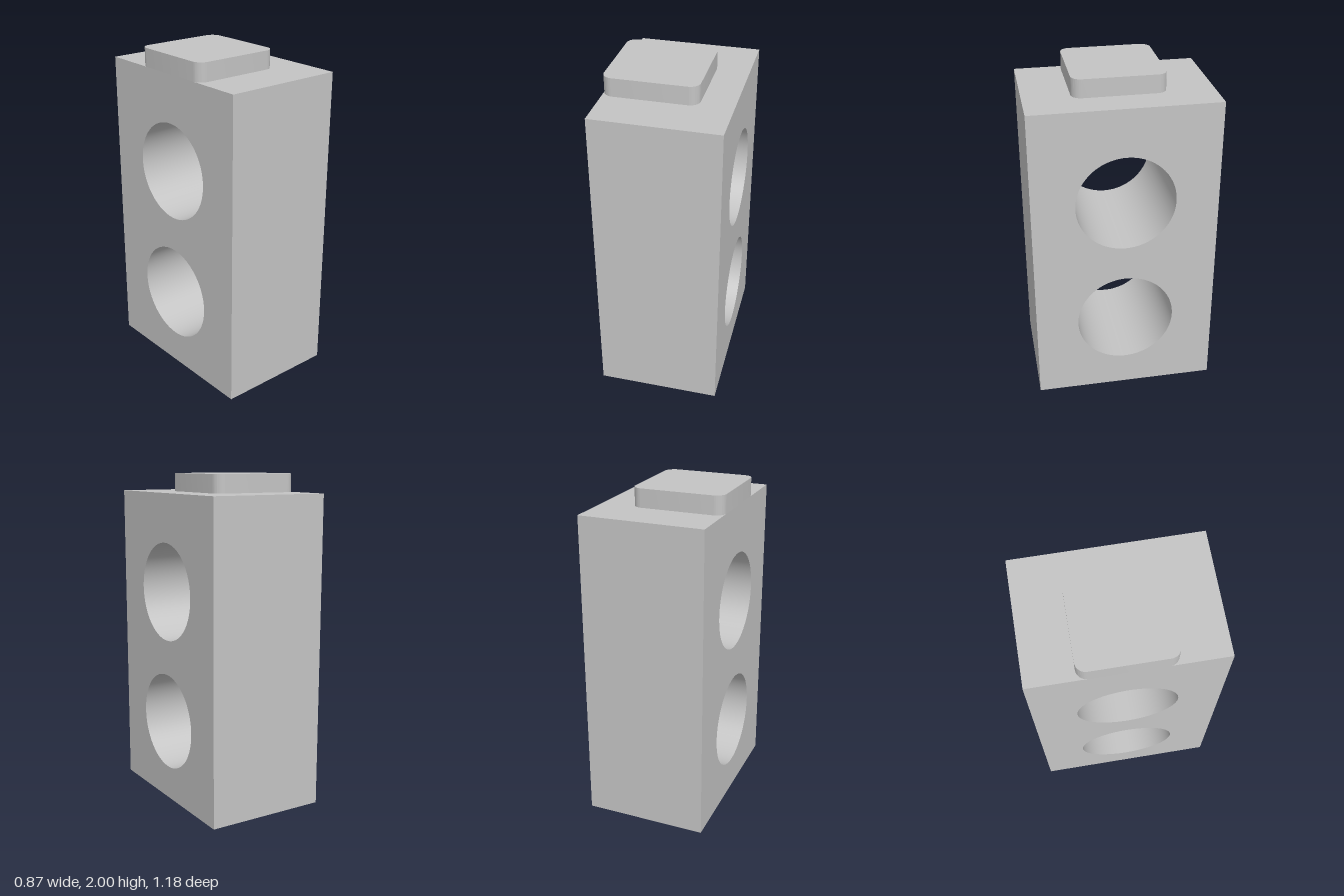
import * as THREE from 'three';
import { toCreasedNormals } from 'three/addons/utils/BufferGeometryUtils.js';

const WIDTH = 0.74, LENGTH = 1.1, HEIGHT = 1.89, TOTAL = 2;

function extrude(shape, depth) {
  const geometry = new THREE.ExtrudeGeometry(shape, { depth, bevelEnabled: false, curveSegments: 48 });
  return toCreasedNormals(geometry, 0.6);
}

function roundedSquare(half, r) {
  const k = half - r;
  const shape = new THREE.Shape();
  shape.absarc(k, k, r, 0, Math.PI / 2);
  shape.absarc(-k, k, r, Math.PI / 2, Math.PI);
  shape.absarc(-k, -k, r, Math.PI, Math.PI * 1.5);
  shape.absarc(k, -k, r, Math.PI * 1.5, Math.PI * 2);
  shape.closePath();
  return shape;
}

export function createModel() {
  const model = new THREE.Group();
  model.name = 'piercedBlock';
  const grey = new THREE.MeshStandardMaterial({ color: 0xc4c4c4 });
  grey.name = 'grey';

  // Block: side profile with two round through-holes, extruded across the width
  const side = new THREE.Shape([
    new THREE.Vector2(-LENGTH / 2, 0),
    new THREE.Vector2(LENGTH / 2, 0),
    new THREE.Vector2(LENGTH / 2, HEIGHT),
    new THREE.Vector2(-LENGTH / 2, HEIGHT),
  ]);
  for (const y of [0.5, 1.305]) {
    side.holes.push(new THREE.Path().absarc(0, y, 0.295, 0, Math.PI * 2, true));
  }
  const block = new THREE.Mesh(
    extrude(side, WIDTH).translate(0, 0, -WIDTH / 2).rotateY(Math.PI / 2), grey);
  block.name = 'block';

  // Raised pad: rounded square, flush with the right face
  const half = 0.273;
  const pad = new THREE.Mesh(
    extrude(roundedSquare(half, 0.06), TOTAL - HEIGHT).rotateX(-Math.PI / 2), grey);
  pad.name = 'topPad';
  pad.position.set(-WIDTH / 2 + half, HEIGHT, 0);

  // The whole block stands slightly turned
  model.add(block, pad);
  model.rotation.y = THREE.MathUtils.degToRad(7);
  return model;
}
